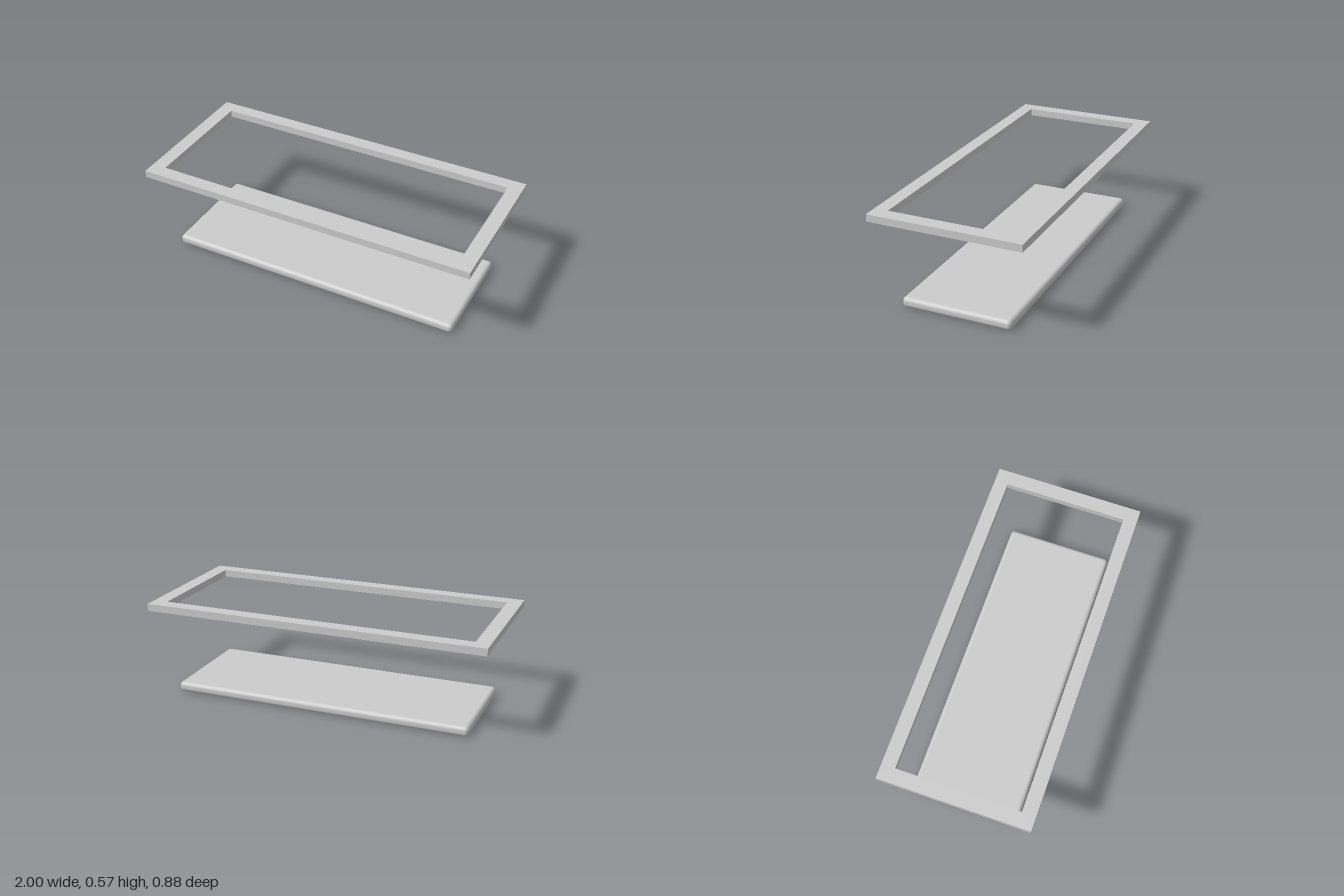
import * as THREE from 'three';
import { RoundedBoxGeometry } from 'three/addons/geometries/RoundedBoxGeometry.js';

const material = new THREE.MeshStandardMaterial({ color: 0xcccccc });

// Corners of a centred rectangle
function rectangle(width, depth) {
  const x = width / 2, z = depth / 2;
  return [[-x, -z], [x, -z], [x, z], [-x, z]].map(([a, b]) => new THREE.Vector2(a, b));
}

export function createModel() {
  const model = new THREE.Group();

  // Rounded slab resting on the ground
  const slab = new THREE.Mesh(new RoundedBoxGeometry(1.782, 0.059, 0.646, 4, 0.024), material);
  slab.name = 'slab';
  slab.position.y = 0.0295;
  model.add(slab);

  // Sharp-edged rectangular frame floating above, one opening
  const outline = new THREE.Shape(rectangle(2, 0.88));
  outline.holes.push(new THREE.Path(rectangle(1.832, 0.72).reverse()));
  const frameGeometry = new THREE.ExtrudeGeometry(outline, { depth: 0.042, bevelEnabled: false });
  frameGeometry.rotateX(-Math.PI / 2);
  const frame = new THREE.Mesh(frameGeometry, material);
  frame.name = 'frame';
  frame.position.y = 0.53;
  model.add(frame);

  return model;
}
